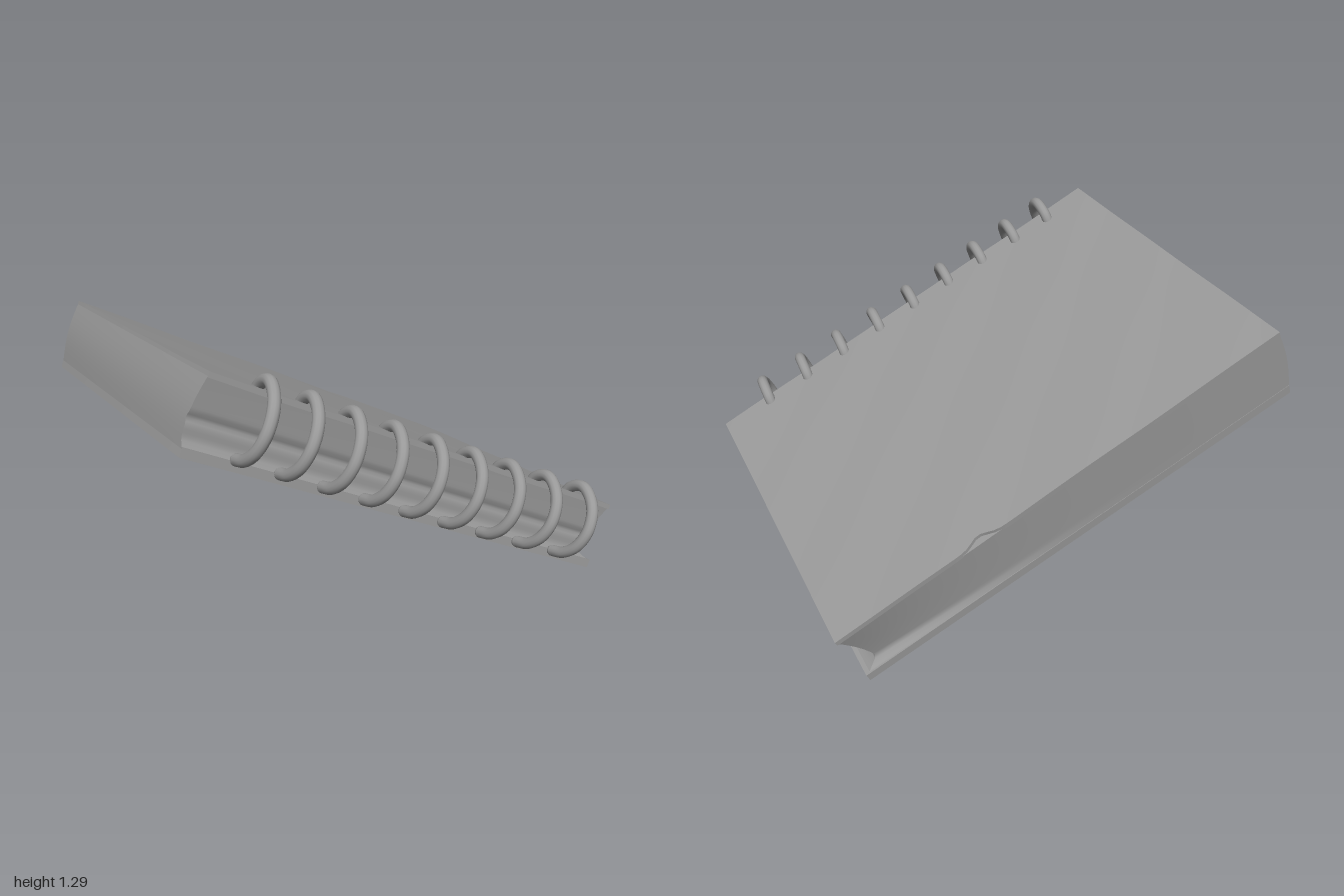
import * as THREE from 'three';

// Eight outer corners of the tilted book, indexed [bottom/top][back/front][-x/+x]
const CORNERS = [
  [[[-1.0, 0.87, -0.83], [0.78, 0.0, -0.83]], [[-0.94, 1.01, 0.69], [0.87, 0.13, 0.675]]],
  [[[-0.89, 1.16, -0.85], [0.91, 0.24, -0.85]], [[-0.81, 1.29, 0.67], [0.995, 0.39, 0.64]]],
];

const V = (a) => new THREE.Vector3(...a);
const bump = (x, centre, width) => Math.exp(-(((x - centre) / width) ** 2));

// Book space (u: -x to +x, v: bottom to top, w: back to front) to model space
function place(u, v, w) {
  const edge = (j, k) => V(CORNERS[j][k][0]).lerp(V(CORNERS[j][k][1]), u);
  const face = (j) => edge(j, 0).lerp(edge(j, 1), w);
  return face(0).lerp(face(1), v);
}

// Box in book space whose vertices pass through a shaping rule
function slab(name, v0, v1, segments, rule, material) {
  const geometry = new THREE.BoxGeometry(1, 1, 1, ...segments);
  const pos = geometry.attributes.position;
  for (let i = 0; i < pos.count; i++) {
    const v = v0 + (pos.getY(i) + 0.5) * (v1 - v0);
    const p = place(...rule(pos.getX(i) + 0.5, v, pos.getZ(i) + 0.5));
    pos.setXYZ(i, p.x, p.y, p.z);
  }
  geometry.computeVertexNormals();
  const mesh = new THREE.Mesh(geometry, material);
  mesh.name = name;
  return mesh;
}

export function createModel() {
  const grey = new THREE.MeshStandardMaterial({ color: 0x999999 });
  grey.name = 'plain grey';
  const book = new THREE.Group();
  book.name = 'ringNotebook';

  // Covers: worn sheets with a gently uneven surface
  const worn = (u, v, w) => 0.006 * Math.sin(u * 17 + w * 5) * Math.sin(w * 11 + u * 3);
  book.add(slab('bottomCover', 0, 0.12, [24, 1, 24], (u, v, w) => [u, v, w], grey));
  book.add(slab('topCover', 0.93, 1, [80, 2, 40], (u, v, w) => {
    // nick in the back edge
    const nick = 0.022 * bump(u, 0.68, 0.025) * bump(w, 0, 0.08);
    return [u, v + worn(u, v, w), w + nick];
  }, grey));

  // Page block: flush, rounded -x side; the other sides sink in toward the lower cover
  book.add(slab('pages', 0.1, 0.95, [32, 20, 32], (u, v, w) => {
    const t = (v - 0.1) / 0.85;
    const hollow = Math.min(1, t / 0.12) * (1 - t ** 1.5);
    const left = -0.006 * Math.sin(Math.PI * t);
    const right = 0.002 + 0.036 * hollow;
    const back = 0.001 + 0.024 * u ** 4 * hollow;
    const front = 0.002 + 0.018 * hollow + 0.008 * bump(v, 0.45, 0.05);
    return [left + u * (1 - left - right), v, back + w * (1 - back - front)];
  }, grey));

  // Binding rings: open hooks from the top cover round to the bottom cover
  const hook = new THREE.CatmullRomCurve3([
    [-0.012, -0.1, -0.105], [0.005, -0.035, -0.075], [0.01, -0.002, 0], [0, -0.02, 0.06],
    [-0.025, -0.065, 0.115], [-0.06, -0.135, 0.138], [-0.092, -0.205, 0.115],
    [-0.113, -0.253, 0.06], [-0.12, -0.273, 0],
  ].map(V));
  const hookGeometry = new THREE.TubeGeometry(hook, 48, 0.024, 12);
  const capGeometry = new THREE.SphereGeometry(0.024, 12, 8);
  const rings = new THREE.Group();
  rings.name = 'bindingRings';
  for (let i = 0; i < 9; i++) {
    const ring = new THREE.Group();
    ring.name = 'ring';
    const wire = new THREE.Mesh(hookGeometry, grey);
    wire.name = 'ringWire';
    ring.add(wire);
    for (const t of [0, 1]) {
      const cap = new THREE.Mesh(capGeometry, grey);
      cap.name = 'ringEnd';
      cap.position.copy(hook.getPoint(t));
      ring.add(cap);
    }
    // spacing widens slightly toward +x
    ring.position.set(-0.615 + i * 0.162 + i * i * 0.0016, 1.235 - i * 0.0865, 0.69);
    rings.add(ring);
  }
  book.add(rings);
  return book;
}
